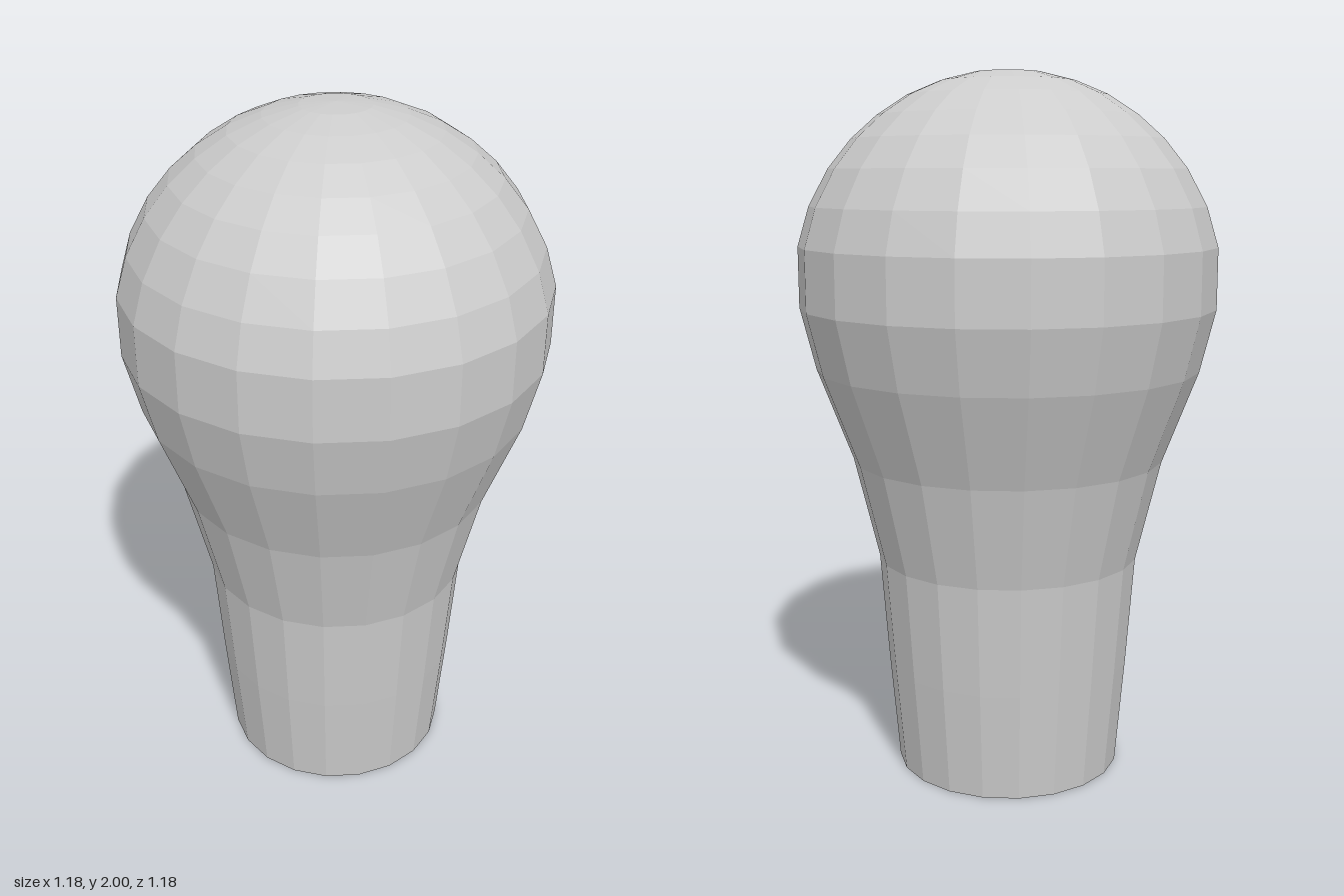
import * as THREE from 'three';

export function createModel() {
  const model = new THREE.Group();
  model.name = 'bulb';

  // Open surface, so both sides show
  const grey = new THREE.MeshStandardMaterial({ color: 0xcccccc, flatShading: true, side: THREE.DoubleSide });
  grey.name = 'grey';

  const SIDES = 20;
  const lathe = (name, profile) => {
    const points = profile.map(([r, y]) => new THREE.Vector2(r, y));
    const mesh = new THREE.Mesh(new THREE.LatheGeometry(points, SIDES), grey);
    mesh.name = name;
    model.add(mesh);
  };

  // Tapered neck, open at the bottom
  lathe('neck', [[0.325, 0], [0.352, 0.31], [0.376, 0.625]]);

  // Flare from the neck out to the widest ring
  lathe('shoulder', [[0.376, 0.625], [0.446, 0.915], [0.545, 1.175], [0.588, 1.35], [0.588, 1.52]]);

  // Rounded dome, closed at the top
  lathe('dome', [
    [0.588, 1.52], [0.555, 1.63], [0.5, 1.732], [0.435, 1.813], [0.363, 1.877],
    [0.28, 1.931], [0.19, 1.969], [0.095, 1.993], [0, 2],
  ]);

  return model;
}
